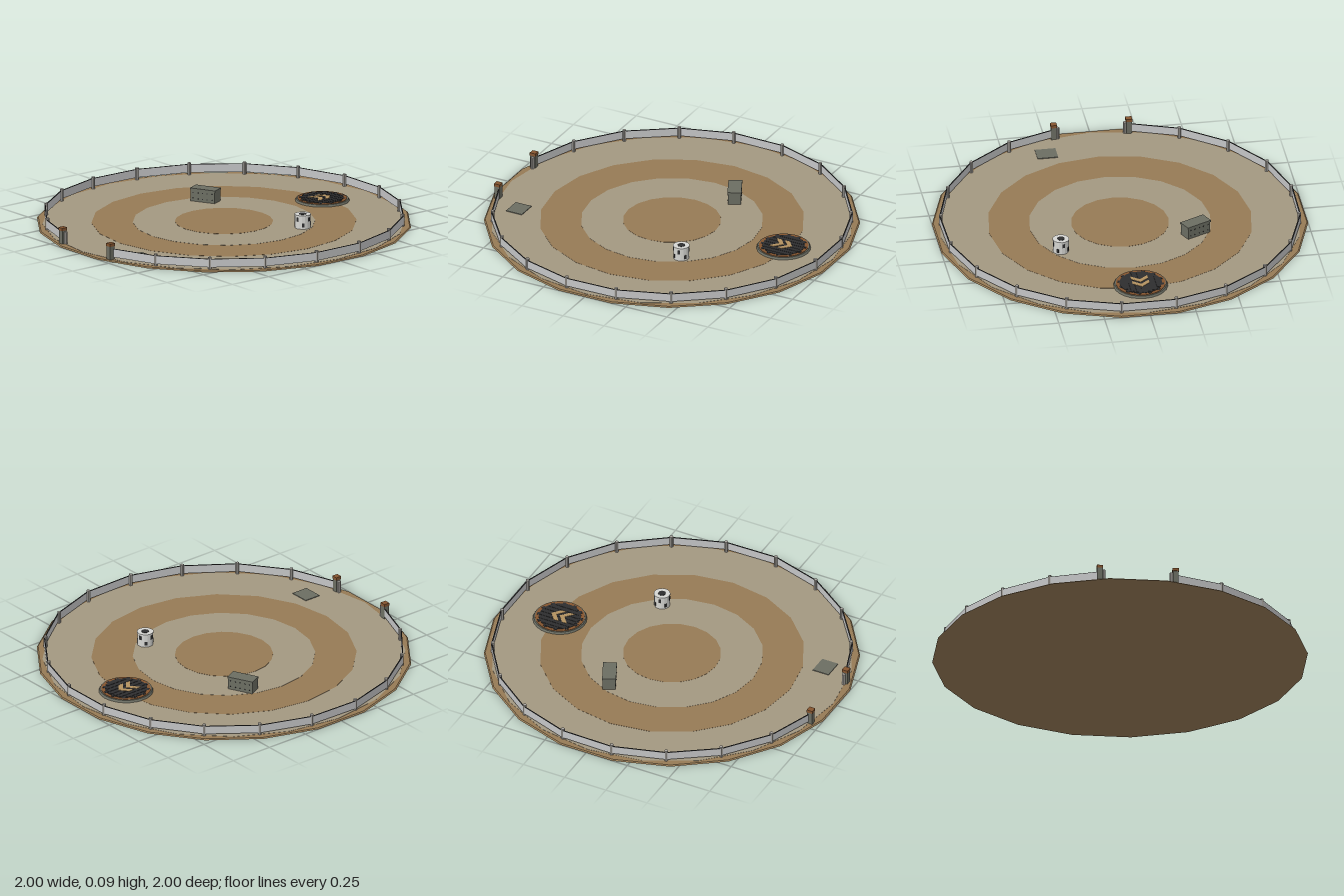
import * as THREE from 'three';

const mat = (name, color) => {
  const m = new THREE.MeshStandardMaterial({ color, flatShading: true });
  m.name = name;
  return m;
};

export function createModel() {
  const earth = mat('earth brown', 0x967a55);
  const sand = mat('pale sand', 0xa39881);
  const panelGrey = mat('panel grey', 0xc4c5c6);
  const postGrey = mat('post grey', 0xaaa6a0);
  const metal = mat('olive metal', 0x6b6d62);
  const rust = mat('rust', 0x85552f);
  const dark = mat('dark iron', 0x2d2d2e);
  const white = mat('barrel white', 0xd6d6d2);
  const tan = mat('marking tan', 0xb39160);

  const arena = new THREE.Group();
  arena.name = 'arena';

  const add = (parent, name, geometry, material, x = 0, y = 0, z = 0, ry = 0) => {
    const mesh = new THREE.Mesh(geometry, material);
    mesh.name = name;
    mesh.position.set(x, y, z);
    mesh.rotation.y = ry;
    parent.add(mesh);
    return mesh;
  };
  const group = (name, x, z, ry = 0) => {
    const g = new THREE.Group();
    g.name = name;
    g.position.set(x, 0, z);
    g.rotation.y = ry;
    arena.add(g);
    return g;
  };
  const box = (w, h, d) => new THREE.BoxGeometry(w, h, d);
  const drum = (r, h, sides, r2 = r) => new THREE.CylinderGeometry(r, r2, h, sides);

  // Ground slab: twenty sides, flats towards the axes
  const R = 1 / Math.cos(Math.PI / 20);
  add(arena, 'groundSlab', drum(R * 0.993, 0.006, 20, R), earth, 0, 0.003, 0, Math.PI / 20);

  // Concentric ground rings, stepped very slightly
  [[0.978, sand], [0.715, earth], [0.492, sand], [0.265, earth]].forEach(([r, m], i) => {
    const top = 0.0072 + i * 0.0008;
    add(arena, 'groundRing' + (i + 1), drum(r, 0.003, 20), m, 0, top - 0.0015, 0);
  });

  // Fence: posts and panels, open at the front
  const fence = group('fence', 0, 0);
  const gap = THREE.MathUtils.degToRad(10.95);
  const count = 20;
  const step = (Math.PI * 2 - gap * 2) / (count - 1);
  const fenceR = 0.97;
  const panelLength = 2 * fenceR * Math.sin(step / 2);
  const panelR = fenceR * Math.cos(step / 2);
  for (let i = 0; i < count; i++) {
    const a = gap + i * step;
    add(fence, 'fencePost', drum(0.01, 0.066, 8), postGrey,
      Math.sin(a) * (fenceR - 0.005), 0.04, Math.cos(a) * (fenceR - 0.005), a);
    if (i === count - 1) continue;
    const b = a + step / 2;
    const x = Math.sin(b) * panelR, z = Math.cos(b) * panelR;
    add(fence, 'fencePanel', box(panelLength, 0.044, 0.006), panelGrey, x, 0.04, z, b);
    add(fence, 'fenceTopEdge', box(panelLength, 0.002, 0.006), dark, x, 0.063, z, b);
  }

  // Gate posts with rusty caps
  for (const s of [-1, 1]) {
    const post = group(s > 0 ? 'leftGatePost' : 'rightGatePost', s * 0.205, 0.95);
    add(post, 'shaft', box(0.03, 0.074, 0.03), metal, 0, 0.043, 0);
    add(post, 'cap', box(0.034, 0.016, 0.034), rust, 0, 0.087, 0);
  }

  // Round platform near the back
  const platform = group('platform', 0, -0.68);
  add(platform, 'platformBase', drum(0.141, 0.012, 24, 0.147), metal, 0, 0.013, 0);
  add(platform, 'platformRim', drum(0.134, 0.003, 24), rust, 0, 0.02, 0);
  add(platform, 'platformPlate', drum(0.115, 0.003, 24), dark, 0, 0.0222, 0);
  for (let i = 0; i < 12; i++) {
    const a = (i + 0.5) * Math.PI / 6;
    add(platform, 'rimTooth', box(0.02, 0.003, 0.014), dark, Math.sin(a) * 0.118, 0.0215, Math.cos(a) * 0.118, a);
  }
  for (let i = -3; i <= 3; i++) {
    const x = i * 0.029;
    add(platform, 'plateSlat', box(0.016, 0.002, 2 * Math.sqrt(0.108 ** 2 - x * x)), dark, x, 0.0243, 0);
  }

  // Two chevrons pointing to the back
  const chevron = new THREE.Shape([
    [0, 0.052], [0.046, 0.014], [0.046, -0.016], [0, 0.022], [-0.046, -0.016], [-0.046, 0.014],
  ].map(([x, y]) => new THREE.Vector2(x, y)));
  const chevronGeometry = new THREE.ExtrudeGeometry(chevron, { depth: 0.002, bevelEnabled: false });
  chevronGeometry.rotateX(-Math.PI / 2);
  for (const z of [0, 0.05]) add(platform, 'chevron', chevronGeometry, tan, 0, 0.025, z);

  // Riveted crate
  const crate = group('crate', -0.382, -0.18, 0.447);
  add(crate, 'crateBody', box(0.144, 0.064, 0.07), metal, 0, 0.04, 0);
  add(crate, 'crateLid', box(0.15, 0.01, 0.075), metal, 0, 0.076, 0);
  for (const s of [-1, 1]) {
    for (let i = -2; i <= 2; i++) {
      for (const y of [0.025, 0.058]) {
        add(crate, 'crateRivet', box(0.005, 0.005, 0.003), dark, i * 0.028, y, s * 0.0355);
      }
    }
  }

  // Barrel with dark patches and a dark lid centre
  const barrel = group('barrel', 0.364, -0.25);
  add(barrel, 'barrelBody', drum(0.043, 0.074, 16), white, 0, 0.045, 0);
  add(barrel, 'barrelRim', drum(0.045, 0.006, 16), white, 0, 0.081, 0);
  add(barrel, 'barrelLidCentre', drum(0.021, 0.003, 12), dark, 0, 0.084, 0);
  for (let i = 0; i < 8; i++) {
    const a = (i + 0.25) * Math.PI / 4;
    add(barrel, 'barrelPatch', box(0.014, 0.022, 0.003), dark,
      Math.sin(a) * 0.0425, i % 2 ? 0.03 : 0.06, Math.cos(a) * 0.0425, a);
  }

  // Flat floor plate by the gate
  add(arena, 'floorPlate', box(0.112, 0.004, 0.096), metal, 0.27, 0.009, 0.79);

  return arena;
}
